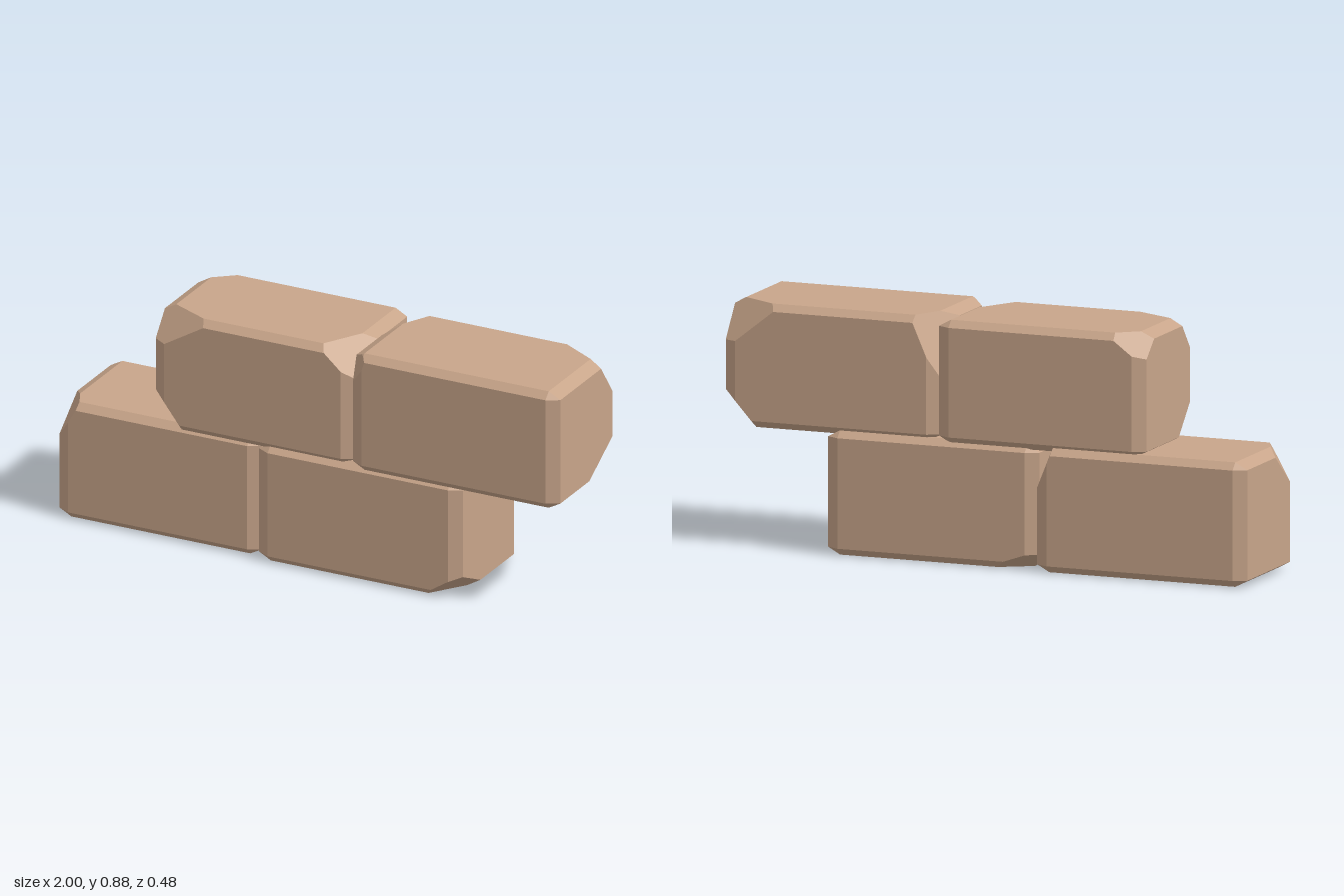
import * as THREE from 'three';
import { ConvexGeometry } from 'three/addons/geometries/ConvexGeometry.js';

const BEVEL = [0.046, 0.025, 0.025];

// Planes of a bevelled box: 6 faces, 12 edge bevels, 8 corner bevels
function bevelledBoxPlanes(half) {
  const planes = [];
  for (let i = 0; i < 27; i++) {
    const s = [i % 3 - 1, Math.floor(i / 3) % 3 - 1, Math.floor(i / 9) - 1];
    const used = s.filter(v => v !== 0).length;
    if (!used) continue;
    let d = 1 - used;
    s.forEach((v, k) => { if (v) d += half[k] / BEVEL[k]; });
    planes.push({ n: new THREE.Vector3(...s.map((v, k) => v / BEVEL[k])), d });
  }
  return planes;
}

// A chip cuts the corner with signs s at distances c along the three edges
function chipPlane(half, s, c) {
  const n = new THREE.Vector3(...s.map((v, k) => v / c[k]));
  return { n, d: half.reduce((sum, h, k) => sum + h / c[k], 0) - 1 };
}

// Corners of the convex solid bounded by the planes
function solidFromPlanes(planes) {
  for (const p of planes) {
    const l = p.n.length();
    p.n.divideScalar(l);
    p.d /= l;
  }
  const points = [];
  const bc = new THREE.Vector3(), ca = new THREE.Vector3(), ab = new THREE.Vector3();
  for (let i = 0; i < planes.length; i++)
    for (let j = i + 1; j < planes.length; j++)
      for (let k = j + 1; k < planes.length; k++) {
        const [a, b, c] = [planes[i], planes[j], planes[k]];
        bc.crossVectors(b.n, c.n);
        ca.crossVectors(c.n, a.n);
        ab.crossVectors(a.n, b.n);
        const det = a.n.dot(bc);
        if (Math.abs(det) < 1e-6) continue;
        const p = new THREE.Vector3()
          .addScaledVector(bc, a.d).addScaledVector(ca, b.d).addScaledVector(ab, c.d)
          .divideScalar(det);
        if (planes.every(q => q.n.dot(p) <= q.d + 1e-6) &&
            points.every(q => q.distanceTo(p) > 1e-4)) points.push(p);
      }
  return new ConvexGeometry(points);
}

// Each brick: min corner, max corner, chips as [corner signs, cut distances]
const BRICKS = [
  { name: 'lowerRightBrick', min: [-1, 0, -0.24], max: [-0.2, 0.445, 0.2], chips: [
    [[-1, 1, 1], [0.09, 0.156, 0.19]],
    [[1, 1, -1], [0.068, 0.165, 0.2]],
  ] },
  { name: 'lowerLeftBrick', min: [-0.2, 0, -0.22], max: [0.605, 0.445, 0.222], chips: [
    [[1, -1, 1], [0.153, 0.099, 0.214]],
    [[-1, -1, -1], [0.2, 0.07, 0.12]],
  ] },
  { name: 'upperRightBrick', min: [-0.61, 0.43, -0.225], max: [0.18, 0.872, 0.22], chips: [
    [[-1, 1, 1], [0.242, 0.144, 0.115]],
    [[-1, -1, 1], [0.124, 0.162, 0.15]],
    [[-1, 1, -1], [0.15, 0.11, 0.122]],
    [[1, 1, 1], [0.141, 0.125, 0.248]],
  ] },
  { name: 'upperLeftBrick', min: [0.18, 0.43, -0.207], max: [1, 0.876, 0.24], chips: [
    [[-1, 1, -1], [0.11, 0.25, 0.22]],
    [[-1, 1, 1], [0.065, 0.2, 0.06]],
    [[1, 1, -1], [0.222, 0.176, 0.128]],
    [[1, -1, -1], [0.13, 0.143, 0.243]],
  ] },
];

export function createModel() {
  const group = new THREE.Group();
  group.name = 'brickStack';
  const material = new THREE.MeshStandardMaterial({ color: 0xc8a58a, flatShading: true });
  for (const { name, min, max, chips } of BRICKS) {
    const half = max.map((v, k) => (v - min[k]) / 2);
    const planes = bevelledBoxPlanes(half);
    for (const [signs, cut] of chips) planes.push(chipPlane(half, signs, cut));
    const brick = new THREE.Mesh(solidFromPlanes(planes), material);
    brick.name = name;
    brick.position.set(...max.map((v, k) => (v + min[k]) / 2));
    group.add(brick);
  }
  return group;
}
